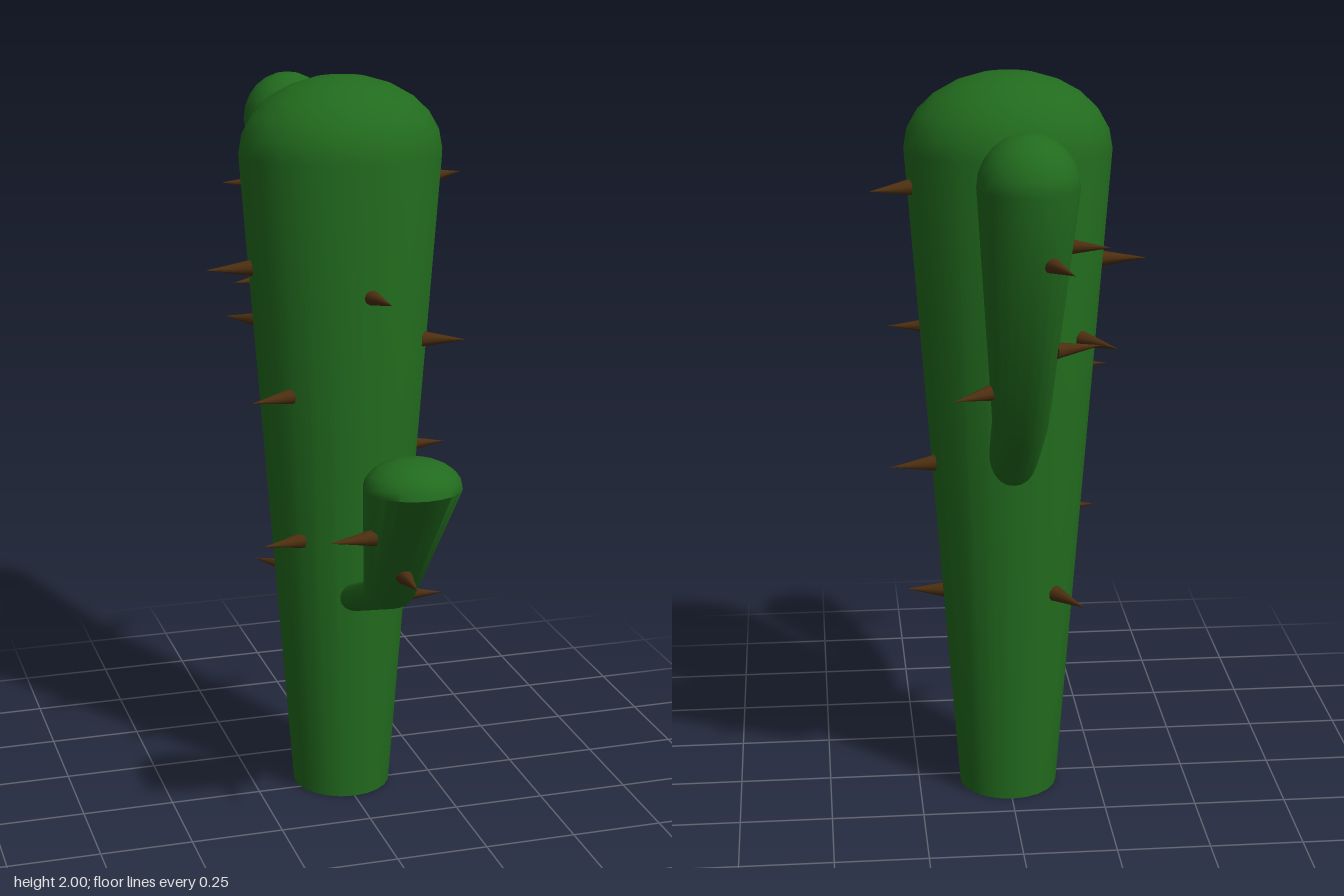
import * as THREE from 'three';
import { toCreasedNormals } from 'three/addons/utils/BufferGeometryUtils.js';

const SIDES = 22;
const DOME_STEPS = 6;
const green = new THREE.MeshStandardMaterial({ color: 0x226b1e });
const brown = new THREE.MeshStandardMaterial({ color: 0x4d2f10 });

// Ring: centre (y, z), half width rx, and the half vector (hy, hz) in the side plane.
const ring = (y, z, rx, hy, hz) => ({ y, z, rx, hy, hz });
const shrink = (r, s, lift = 0) => ring(r.y + lift, r.z, r.rx * s, r.hy * s, r.hz * s);

// Skins rings from bottom to top, closes the base and rounds off the tip.
function stem(name, rings, domeHeight) {
  const all = [shrink(rings[0], 0.002), ...rings];
  const top = rings[rings.length - 1];
  for (let k = 1; k <= DOME_STEPS; k++) {
    const a = (k / DOME_STEPS) * Math.PI / 2;
    all.push(shrink(top, Math.max(Math.cos(a), 0.002), domeHeight * Math.sin(a)));
  }
  const pos = [], index = [];
  all.forEach((r, j) => {
    const turn = Math.sign(top.hz);
    for (let i = 0; i < SIDES; i++) {
      const t = (i / SIDES) * Math.PI * 2;
      pos.push(turn * r.rx * Math.sin(t), r.y + r.hy * Math.cos(t), r.z + r.hz * Math.cos(t));
      if (j === all.length - 1) continue;
      const a = j * SIDES + i, b = j * SIDES + (i + 1) % SIDES;
      index.push(a, b, b + SIDES, a, b + SIDES, a + SIDES);
    }
  });
  const geo = new THREE.BufferGeometry();
  geo.setAttribute('position', new THREE.Float32BufferAttribute(pos, 3));
  geo.setIndex(index);
  const mesh = new THREE.Mesh(toCreasedNormals(geo, 0.75), green);
  mesh.name = name;
  return mesh;
}

// Thorn: a thin cone from its root on the skin to its tip.
const thornGeo = new THREE.ConeGeometry(0.022, 1, 10);
function thorn(root, tip) {
  const a = new THREE.Vector3(...root), b = new THREE.Vector3(...tip);
  const dir = b.clone().sub(a);
  const mesh = new THREE.Mesh(thornGeo, brown);
  mesh.name = 'thorn';
  mesh.position.copy(a).add(b).multiplyScalar(0.5);
  mesh.scale.y = dir.length();
  mesh.quaternion.setFromUnitVectors(new THREE.Vector3(0, 1, 0), dir.normalize());
  return mesh;
}

export function createModel() {
  const model = new THREE.Group();
  model.name = 'cactus';

  // Tapered oval trunk
  model.add(stem('trunk', [
    ring(0, -0.037, 0.135, 0, 0.138),
    ring(1.8, -0.035, 0.273, 0, 0.235),
  ], 0.2));

  // Low front arm
  model.add(stem('frontArm', [
    ring(0.575, 0.05, 0.045, -0.035, 0.015),
    ring(0.72, 0.41, 0.068, -0.03, 0.04),
    ring(1.065, 0.597, 0.125, 0.003, 0.123),
  ], 0.075));

  // Tall back arm
  model.add(stem('backArm', [
    ring(0.94, -0.12, 0.062, -0.06, -0.035),
    ring(1.16, -0.385, 0.072, -0.06, -0.045),
    ring(1.805, -0.577, 0.125, 0, -0.125),
  ], 0.13));

  // Thorns, as root and tip
  const thorns = new THREE.Group();
  thorns.name = 'thorns';
  [
    // trunk
    [[0.255, 1.71, -0.08], [0.365, 1.71, -0.13]],
    [[-0.245, 1.5, -0.037], [-0.37, 1.5, -0.04]],
    [[0.02, 1.45, 0.17], [0.045, 1.45, 0.28]],
    [[0.195, 1.3, 0.065], [0.315, 1.295, 0.09]],
    [[-0.17, 1.175, 0.085], [-0.285, 1.17, 0.11]],
    [[-0.14, 0.765, 0.075], [-0.255, 0.765, 0.1]],
    [[0.2, 0.96, -0.085], [0.32, 0.955, -0.1]],
    [[0.165, 0.555, 0.015], [0.275, 0.555, 0.03]],
    [[-0.18, 1.32, -0.18], [-0.265, 1.315, -0.27]],
    [[-0.115, 0.605, -0.165], [-0.185, 0.6, -0.268]],
    // front arm
    [[-0.09, 0.935, 0.57], [-0.21, 0.935, 0.585]],
    [[0, 0.81, 0.53], [0, 0.81, 0.645]],
    // back arm
    [[-0.05, 1.625, -0.61], [-0.098, 1.62, -0.715]],
    [[0.07, 1.255, -0.425], [0.175, 1.25, -0.485]],
    [[-0.095, 1.64, -0.49], [-0.21, 1.64, -0.515]],
    [[-0.08, 1.37, -0.465], [-0.2, 1.37, -0.425]],
  ].forEach(([root, tip]) => thorns.add(thorn(root, tip)));
  model.add(thorns);

  return model;
}
